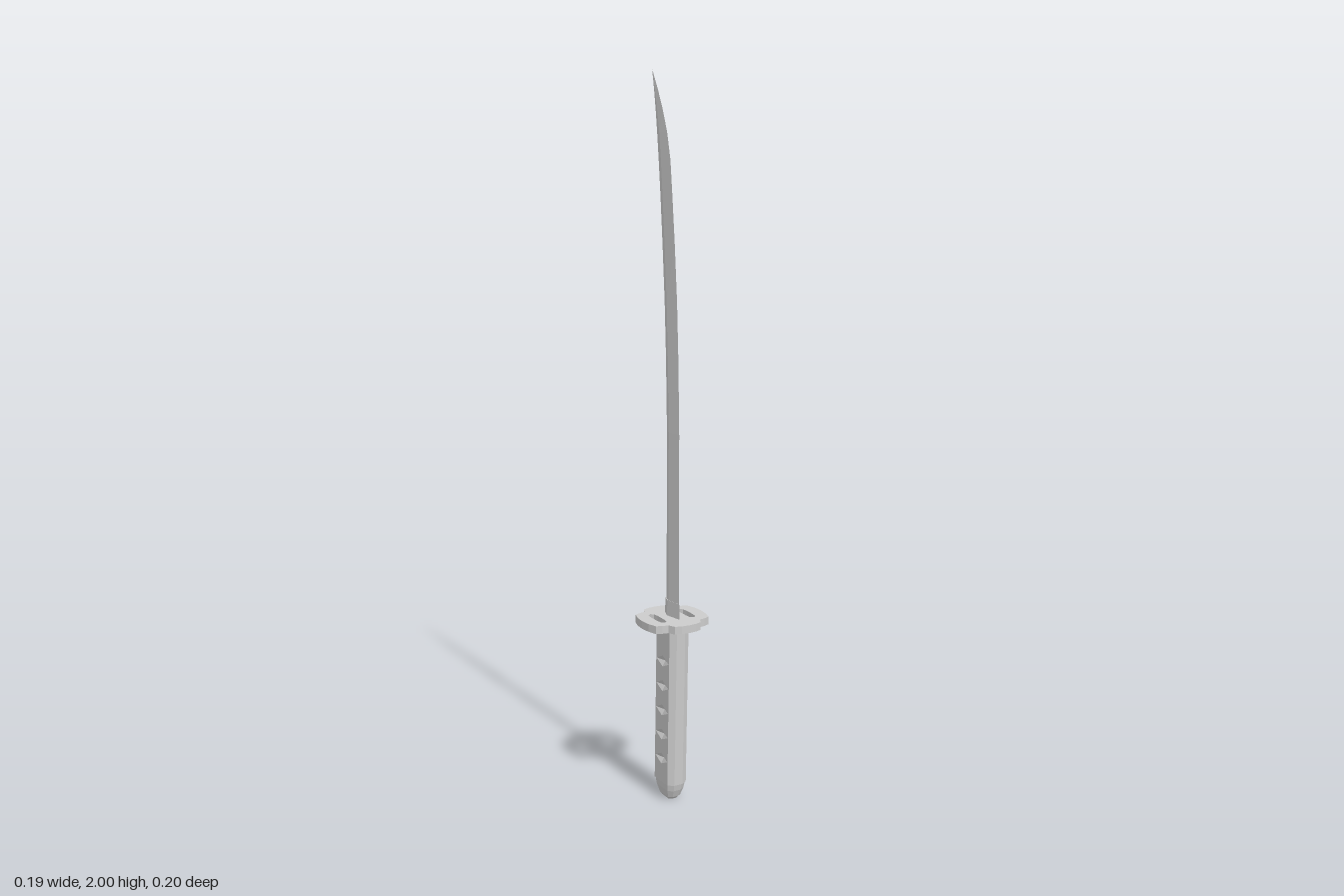
import * as THREE from 'three';
import { mergeGeometries } from 'three/addons/utils/BufferGeometryUtils.js';

const material = new THREE.MeshStandardMaterial({ color: 0xcccccc, flatShading: true, side: THREE.DoubleSide });

function fromPoints(points) {
  const g = new THREE.BufferGeometry();
  g.setAttribute('position', new THREE.Float32BufferAttribute(points.flat(), 3));
  return g;
}

// Skin between rings of [x, y, z] points, listed counter-clockwise from above
function loft(rings, skip = () => false) {
  const out = [], n = rings[0].length;
  for (let i = 0; i < rings.length - 1; i++) {
    for (let j = 0; j < n; j++) {
      if (skip(j)) continue;
      const k = (j + 1) % n;
      const a = rings[i][j], b = rings[i][k], c = rings[i + 1][k], d = rings[i + 1][j];
      out.push(a, b, c, a, c, d);
    }
  }
  const low = rings[0], top = rings[rings.length - 1];
  for (let j = 1; j < n - 1; j++) {
    out.push(low[0], low[j + 1], low[j], top[0], top[j], top[j + 1]);
  }
  return fromPoints(out);
}

// Four-sided blade section: cutting edge, ridge, spine, ridge
function bladeRing([y, edge, spine, thick]) {
  const ridge = spine + (edge - spine) * 0.36;
  return [[0, y, edge], [thick, y, ridge], [0, y, spine], [-thick, y, ridge]];
}

// The grip leans slightly backwards towards the pommel
const lean = y => -0.005 + 0.03 * (y - 0.05);
const GRIP = { x: 0.03, z: 0.047, flatX: 0.013, flatZ: 0.036, low: 0.05, high: 0.505 };

function gripRing(y, s = 1) {
  const { x, z, flatX, flatZ } = GRIP;
  return [[-flatX, z], [flatX, z], [x, flatZ], [x, -flatZ], [flatX, -z], [-flatX, -z], [-x, -flatZ], [-x, flatZ]]
    .map(([px, pz]) => [px * s, y, pz * s + lean(y)]);
}

// Flat grip side with a column of sunken diamonds
function gripSide(sign) {
  const { x, flatZ, low, high } = GRIP;
  const shape = new THREE.Shape([[-flatZ, low], [flatZ, low], [flatZ, high], [-flatZ, high]]
    .map(p => new THREE.Vector2(...p)));
  const sunk = [];
  for (let i = 0; i < 5; i++) {
    const y = 0.12 + i * 0.0725;
    const d = [[0.034, y], [0, y + 0.016], [-0.034, y], [0, y - 0.016]];
    shape.holes.push(new THREE.Path(d.map(p => new THREE.Vector2(...p))));
    d.forEach((p, j) => sunk.push([...p, 0], [...d[(j + 1) % 4], 0], [0, y, -0.009]));
  }
  const panel = new THREE.ShapeGeometry(shape).toNonIndexed();
  panel.deleteAttribute('normal');
  panel.deleteAttribute('uv');
  const g = mergeGeometries([panel, fromPoints(sunk)]);
  g.rotateY(sign * Math.PI / 2).translate(sign * x, 0, 0);
  const pos = g.attributes.position;
  for (let i = 0; i < pos.count; i++) pos.setZ(i, pos.getZ(i) + lean(pos.getY(i)));
  return g;
}

// Lobed guard plate with two slots
function guardGeometry() {
  const half = [[0, -0.095], [0.022, -0.093], [0.04, -0.087], [0.05, -0.067], [0.066, -0.064], [0.083, -0.057],
    [0.091, -0.03], [0.094, 0], [0.091, 0.03], [0.083, 0.057], [0.066, 0.064], [0.05, 0.067], [0.04, 0.087],
    [0.022, 0.093], [0, 0.095]];
  const mirrored = half.slice(1, -1).reverse().map(([x, z]) => [-x, z]);
  const shape = new THREE.Shape([...half, ...mirrored].map(p => new THREE.Vector2(...p)));
  const slot = [[0, -0.042], [0.009, -0.034], [0.011, -0.018], [0.011, 0.018], [0.009, 0.034],
    [0, 0.042], [-0.009, 0.034], [-0.011, 0.018], [-0.011, -0.018], [-0.009, -0.034]];
  for (const side of [-1, 1]) {
    shape.holes.push(new THREE.Path(slot.map(([x, z]) => new THREE.Vector2(x + side * 0.046, z))));
  }
  const g = new THREE.ExtrudeGeometry(shape, { depth: 0.022, bevelEnabled: false });
  return g.rotateX(Math.PI / 2).translate(0, 0.536, 0.005);
}

export function createModel() {
  const model = new THREE.Group();
  const add = (name, geometry) => {
    geometry.computeVertexNormals();
    const mesh = new THREE.Mesh(geometry, material);
    mesh.name = name;
    model.add(mesh);
  };

  // Curved blade: height, edge z, spine z, half thickness
  add('blade', loft([
    [0.52, 0.042, -0.027, 0.008], [0.8, 0.044, -0.023, 0.008], [1.05, 0.044, -0.022, 0.008],
    [1.25, 0.039, -0.027, 0.008], [1.4, 0.032, -0.034, 0.0075], [1.55, 0.02, -0.045, 0.007],
    [1.68, 0.007, -0.056, 0.0065], [1.77, -0.003, -0.065, 0.006], [1.84, -0.02, -0.073, 0.0045],
    [1.9, -0.044, -0.081, 0.003], [1.95, -0.069, -0.089, 0.0018], [2, -0.098, -0.0985, 0.0002],
  ].map(bladeRing)));
  add('bladeCollar', loft([[0.52, 0.046, -0.034, 0.01], [0.58, 0.045, -0.031, 0.0095]].map(bladeRing)));

  add('guard', guardGeometry());

  // Grip: bevelled body, open where the patterned sides sit
  add('gripBody', loft([gripRing(GRIP.low), gripRing(GRIP.high)], j => j === 2 || j === 6));
  add('gripSideLeft', gripSide(1));
  add('gripSideRight', gripSide(-1));
  add('gripCollar', loft([gripRing(0.5, 0.92), gripRing(0.518, 0.92)]));
  add('pommel', loft([gripRing(0, 0.5), gripRing(0.008, 0.66), gripRing(0.03, 0.85), gripRing(0.052, 0.95)]));

  return model;
}
